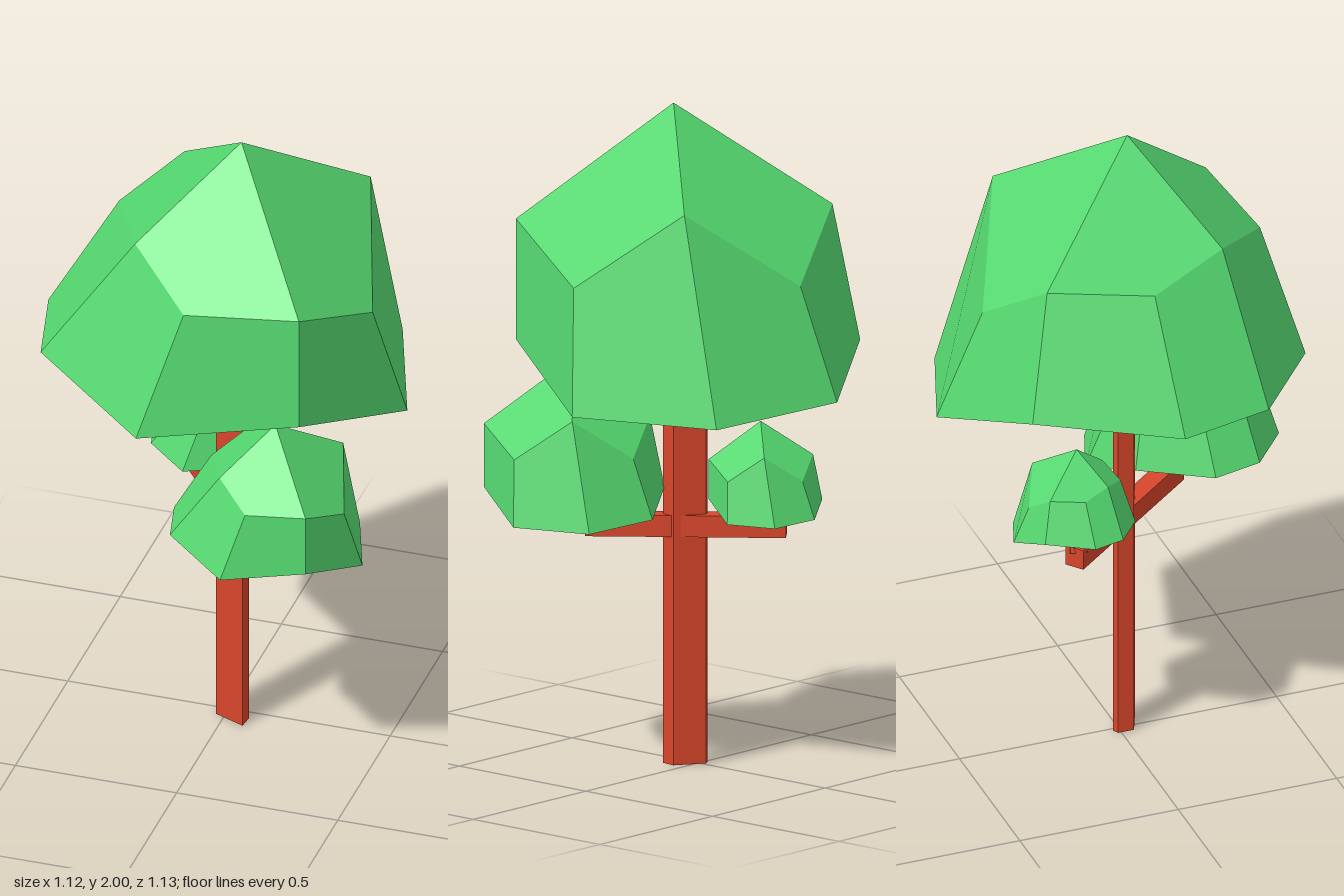
import * as THREE from 'three';

const leafMat = new THREE.MeshStandardMaterial({ color: 0x55d870 });
const woodMat = new THREE.MeshStandardMaterial({ color: 0xd8452b });

// Crown cross-sections: eight corners each, clockwise from the back
const MID = [
  [0.02, 1.51, -0.42], [0.355, 1.757, -0.26], [0.47, 1.505, 0.075], [0.35, 1.645, 0.41],
  [0.005, 1.625, 0.45], [-0.21, 1.715, 0.25], [-0.345, 1.685, -0.015], [-0.24, 1.7, -0.315],
];
const RIM = [
  [0.02, 1.18, -0.565], [0.4, 1.14, -0.427], [0.555, 1.14, 0.005], [0.35, 1.28, 0.41],
  [-0.11, 1.235, 0.55], [-0.49, 1.31, 0.29], [-0.56, 1.31, 0], [-0.29, 1.29, -0.38],
];
const APEX = [0.055, 2, 0.05];

// Small ring for the hollow around the trunk
function hollowRing(radius, y) {
  return Array.from({ length: 8 }, (_, i) => {
    const a = (i * Math.PI) / 4;
    return [0.02 + radius * Math.sin(a), y, 0.03 - radius * Math.cos(a)];
  });
}

// Faceted crown: pointed cap, sloping sides, concave underside with a hollow
function crownGeometry() {
  const pos = [], nor = [];
  const quad = (...corners) => {
    const [a, b, c, d] = corners.map((p) => new THREE.Vector3(...p).sub(new THREE.Vector3(...APEX)));
    const n = c.clone().sub(a).cross(d.clone().sub(b)).normalize();
    for (const p of [a, b, d, b, c, d]) {
      pos.push(p.x, p.y, p.z);
      nor.push(n.x, n.y, n.z);
    }
  };
  const loops = [MID, RIM, hollowRing(0.12, 1.35), hollowRing(0.1, 1.5)];
  for (let k = 0; k < loops.length - 1; k++) {
    const up = loops[k], low = loops[k + 1];
    for (let i = 0; i < 8; i++) {
      const j = (i + 1) % 8;
      quad(low[j], low[i], up[i], up[j]);
    }
  }
  const roof = loops[3];
  for (let i = 1; i < 8; i += 2) {
    const j = (i + 1) % 8, k = (i + 2) % 8;
    quad(APEX, MID[k], MID[j], MID[i]);
    quad([0.02, 1.5, 0.03], roof[i], roof[j], roof[k]);
  }
  const g = new THREE.BufferGeometry();
  g.setAttribute('position', new THREE.Float32BufferAttribute(pos, 3));
  g.setAttribute('normal', new THREE.Float32BufferAttribute(nor, 3));
  return g;
}

// Square beam between two points
function beam(name, from, to, width, depth) {
  const a = new THREE.Vector3(...from), b = new THREE.Vector3(...to);
  const mesh = new THREE.Mesh(new THREE.BoxGeometry(width, depth, a.distanceTo(b)), woodMat);
  mesh.position.copy(a).lerp(b, 0.5);
  mesh.lookAt(b);
  mesh.name = name;
  return mesh;
}

export function createModel() {
  const tree = new THREE.Group();
  tree.name = 'tree';

  // Five-sided trunk
  const outline = [[0.068, 0.08], [0.073, 0.035], [-0.01, -0.02], [-0.028, -0.01], [-0.028, 0.04]];
  const shape = new THREE.Shape(outline.map(([x, z]) => new THREE.Vector2(x, -z)));
  const trunk = new THREE.Mesh(
    new THREE.ExtrudeGeometry(shape, { depth: 1.49, bevelEnabled: false }).rotateX(-Math.PI / 2), woodMat);
  trunk.name = 'trunk';
  tree.add(trunk);

  // One large crown on top and two smaller ones on the branches
  const crown = crownGeometry();
  const crowns = [
    ['mainCrown', APEX, 1],
    ['frontCrown', [0.243, 1.207, 0.305], 0.525],
    ['backCrown', [-0.09, 1.045, -0.165], 0.33],
  ];
  for (const [name, tip, scale] of crowns) {
    const mesh = new THREE.Mesh(crown, leafMat);
    mesh.name = name;
    mesh.position.set(...tip);
    mesh.scale.setScalar(scale);
    tree.add(mesh);
  }

  // Branches: a level arm, then a leaning stub up into the crown
  const branches = [
    ['front', [0.21, 0.722, 0.26], [0.192, 0.73, 0.242], [0.235, 0.9, 0.285]],
    ['back', [-0.165, 0.722, -0.2], [-0.148, 0.73, -0.183], [-0.1, 0.87, -0.172]],
  ];
  for (const [side, end, foot, top] of branches) {
    tree.add(beam(side + 'BranchArm', [0.022, 0.722, 0.03], end, 0.06, 0.065));
    tree.add(beam(side + 'BranchStub', foot, top, 0.05, 0.05));
  }
  return tree;
}
